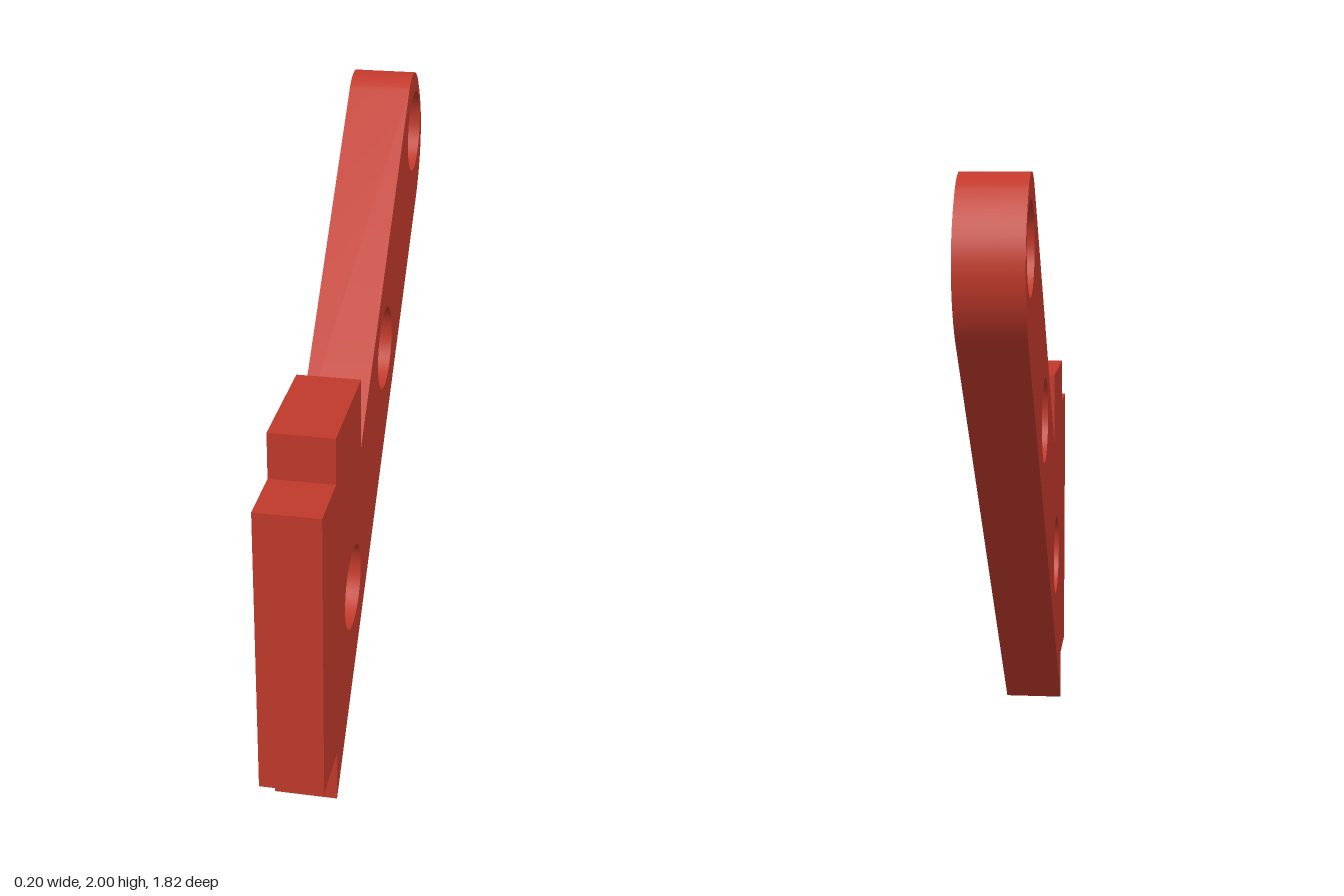
import * as THREE from 'three';
import { toCreasedNormals } from 'three/addons/utils/BufferGeometryUtils.js';

const THICKNESS = 0.205;
const HOLE_RADIUS = 0.138;

export function createModel() {
  const group = new THREE.Group();
  group.name = 'bracket';

  // Side profile, drawn with its x pointing to the model's back
  const profile = new THREE.Shape();
  profile.moveTo(-0.91, 0.18);
  profile.lineTo(-0.705, 0.18);
  profile.lineTo(-0.705, 0);

  // Slanted arm with its rounded tip
  profile.lineTo(0.81, 1.52);
  profile.bezierCurveTo(0.87, 1.58, 0.905, 1.66, 0.905, 1.74);
  profile.bezierCurveTo(0.905, 1.82, 0.86, 1.9, 0.8, 1.96);
  profile.bezierCurveTo(0.77, 1.985, 0.735, 2, 0.705, 2);
  profile.bezierCurveTo(0.67, 2, 0.64, 1.99, 0.61, 1.965);

  // Notch and stepped mounting block
  profile.lineTo(-0.295, 1.057);
  profile.lineTo(-0.295, 1.298);
  profile.lineTo(-0.705, 1.298);
  profile.lineTo(-0.705, 1.147);
  profile.lineTo(-0.91, 1.147);
  profile.closePath();

  // Three round holes along the arm
  for (const [x, y] of [[-0.427, 0.628], [0.155, 1.21], [0.734, 1.788]]) {
    const hole = new THREE.Path();
    hole.absarc(x, y, HOLE_RADIUS, 0, Math.PI * 2, true);
    profile.holes.push(hole);
  }

  const extruded = new THREE.ExtrudeGeometry(profile, {
    depth: THICKNESS,
    bevelEnabled: false,
    curveSegments: 24,
  });
  extruded.translate(0, 0, -THICKNESS / 2);
  extruded.rotateY(Math.PI / 2);

  const plate = new THREE.Mesh(
    toCreasedNormals(extruded, 0.5),
    new THREE.MeshStandardMaterial({ color: 0xc0392b })
  );
  plate.name = 'bracketPlate';
  group.add(plate);
  return group;
}
